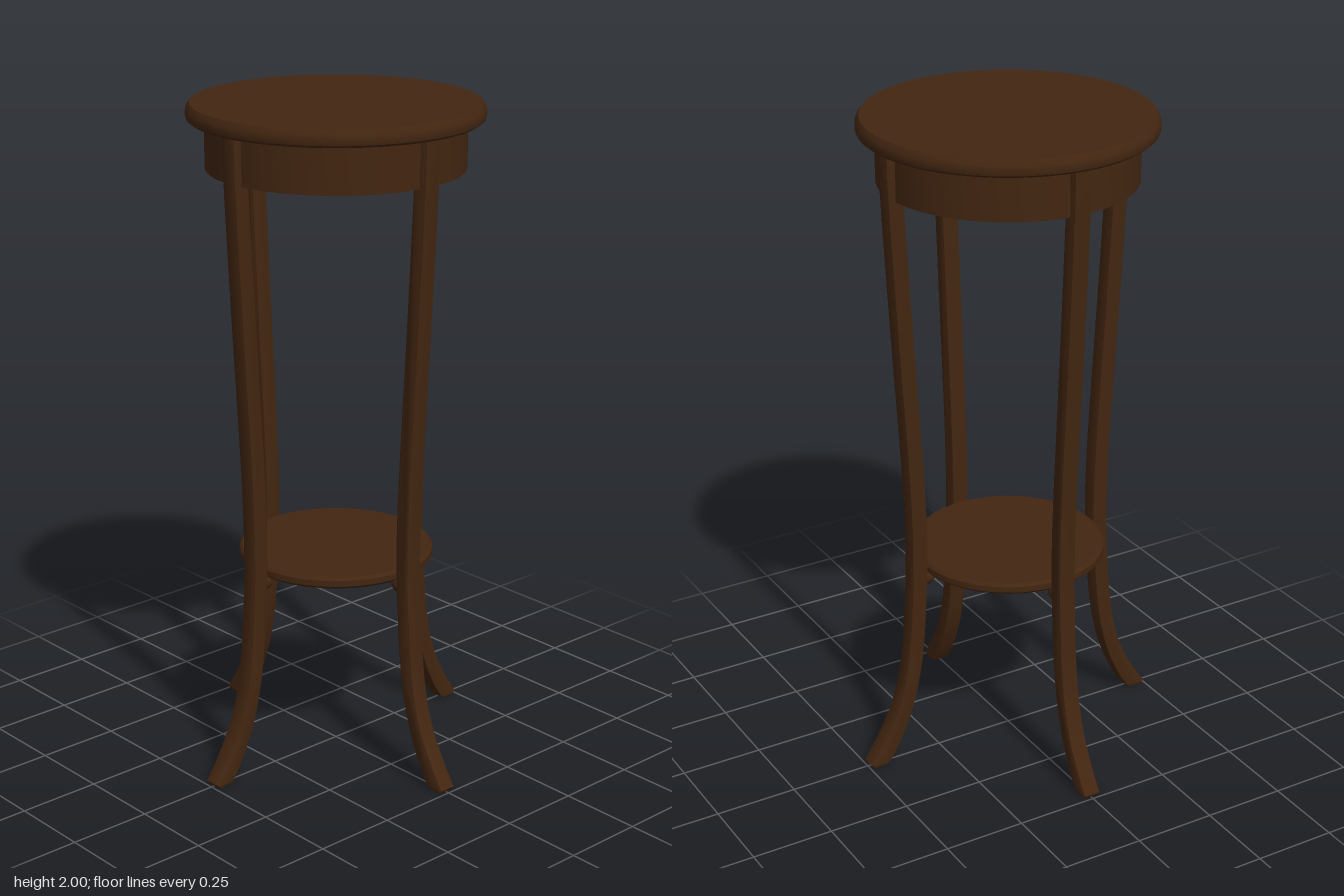
import * as THREE from 'three';
import { toCreasedNormals } from 'three/addons/utils/BufferGeometryUtils.js';

export function createModel() {
  const group = new THREE.Group();
  group.name = 'plantStand';
  const wood = new THREE.MeshStandardMaterial({ color: 0x432611 });
  wood.name = 'darkWood';

  const add = (geometry, name, parent = group) => {
    const mesh = new THREE.Mesh(geometry, wood);
    mesh.name = name;
    parent.add(mesh);
    return mesh;
  };

  // Round parts turned from [radius, height] profiles, bottom to top
  const turned = (profile, name) => {
    const points = profile.map(([r, y]) => new THREE.Vector2(r, y));
    add(toCreasedNormals(new THREE.LatheGeometry(points, 48), 0.6), name);
  };
  turned([[0, 1.95], [0.418, 1.95], [0.427, 1.957], [0.43, 1.968], [0.428, 1.985], [0.418, 2], [0, 2]], 'tableTop');
  turned([[0, 1.81], [0.376, 1.81], [0.376, 1.952], [0, 1.952]], 'apron');
  turned([[0, 0.62], [0.284, 0.62], [0.292, 0.628], [0.292, 0.646], [0.284, 0.655], [0, 0.655]], 'shelf');

  // Leg side profile: outer and inner edges run from foot to top
  const bevel = 0.006;
  const outer = [[0.497, 0.012], [0.455, 0.075], [0.408, 0.165], [0.377, 0.265], [0.358, 0.39],
    [0.347, 0.54], [0.342, 0.66], [0.343, 0.8], [0.351, 1.0], [0.375, 1.4], [0.397, 1.81], [0.4, 1.95]];
  const inner = [[0.435, 0.006], [0.398, 0.065], [0.356, 0.16], [0.327, 0.265], [0.308, 0.39],
    [0.297, 0.54], [0.291, 0.66], [0.292, 0.8], [0.301, 1.0], [0.325, 1.4], [0.347, 1.81], [0.35, 1.95]];
  const vec = ([x, y]) => new THREE.Vector2(x, y);
  const shape = new THREE.Shape();
  shape.moveTo(0.447, 0);
  shape.lineTo(0.488, 0);
  shape.lineTo(...outer[0]);
  shape.splineThru(outer.slice(1).map(vec));
  shape.lineTo(...inner[inner.length - 1]);
  shape.splineThru(inner.slice(0, -1).reverse().map(vec));
  shape.closePath();
  const width = 0.054;
  const legGeometry = new THREE.ExtrudeGeometry(shape, {
    depth: width - 2 * bevel, curveSegments: 32,
    bevelEnabled: true, bevelThickness: bevel, bevelSize: bevel, bevelOffset: -bevel, bevelSegments: 2,
  });
  legGeometry.translate(0, 0, bevel - width / 2);
  const legSmooth = toCreasedNormals(legGeometry, 0.6);

  // Four legs, each with a small round support under the shelf
  const knob = new THREE.SphereGeometry(0.028, 20, 14);
  for (let i = 0; i < 4; i++) {
    const assembly = new THREE.Group();
    assembly.name = 'legAssembly' + (i + 1);
    assembly.rotation.y = i * Math.PI / 2;
    add(legSmooth, 'leg', assembly);
    add(knob, 'shelfSupport', assembly).position.set(0.286, 0.608, 0);
    group.add(assembly);
  }
  return group;
}
